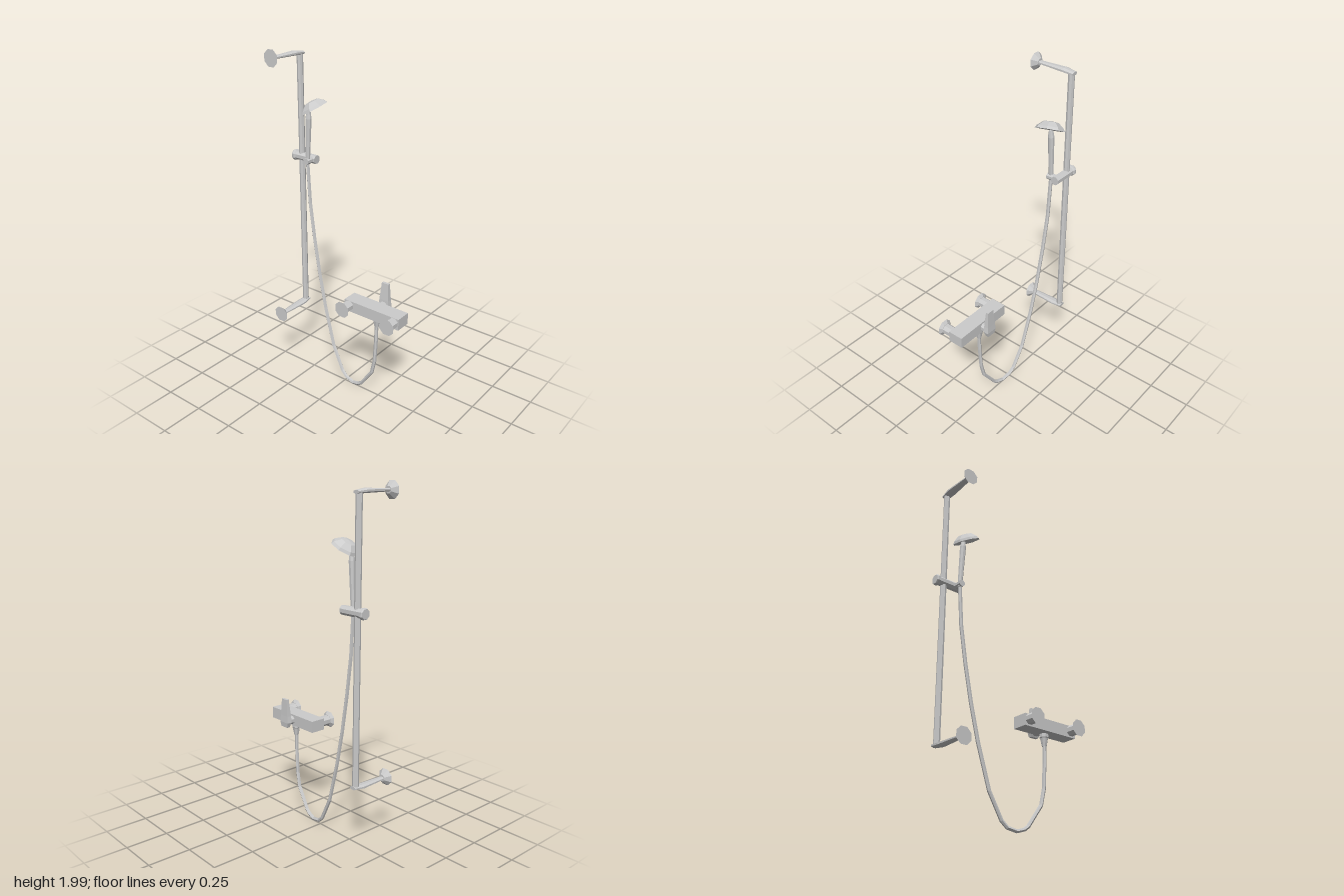
import * as THREE from 'three';

const material = new THREE.MeshStandardMaterial({ color: 0xcccccc, flatShading: true });

function add(parent, name, geometry, x = 0, y = 0, z = 0) {
  const mesh = new THREE.Mesh(geometry, material);
  mesh.name = name;
  mesh.position.set(x, y, z);
  parent.add(mesh);
  return mesh;
}

// Faceted turned part; profile is [radius, distance along the axis], listed upwards
function turned(profile, axis = 'y', sides = 8) {
  const points = profile.map(([r, d]) => new THREE.Vector2(r, d));
  const geometry = new THREE.LatheGeometry(points, sides, Math.PI / sides);
  if (axis === 'x') geometry.rotateZ(-Math.PI / 2);
  if (axis === 'z') geometry.rotateX(Math.PI / 2);
  return geometry;
}

// Flattened arm along x whose outer end drops towards the rail
function armGeometry(drop) {
  const geometry = turned([[0, -0.115], [0.018, -0.115], [0.028, 0.05], [0.021, 0.113], [0, 0.113]], 'x');
  geometry.scale(1, 0.48, 1);
  const p = geometry.attributes.position;
  for (let i = 0; i < p.count; i++) {
    if (p.getX(i) > 0.1) p.setY(i, p.getY(i) + drop);
  }
  return geometry;
}

// Lever that narrows towards its top and bottom
function leverGeometry() {
  const levels = [
    [0.57, 0.062, 0.009, 0.026], // y, centre x, half depth, half width
    [0.6, 0.058, 0.016, 0.035],
    [0.64, 0.058, 0.014, 0.03],
    [0.742, 0.061, 0.008, 0.022],
  ];
  const geometry = new THREE.BoxGeometry(2, 3, 2, 1, 3, 1);
  const p = geometry.attributes.position;
  for (let i = 0; i < p.count; i++) {
    const [y, cx, hx, hz] = levels[Math.round(p.getY(i) + 1.5)];
    p.setXYZ(i, cx + p.getX(i) * hx, y, p.getZ(i) * hz);
  }
  return geometry;
}

// Tube whose rings sit exactly on the given points
function hoseGeometry(points, radius) {
  const curve = new THREE.CatmullRomCurve3(points);
  curve.getPointAt = curve.getPoint;
  curve.getTangentAt = curve.getTangent;
  return new THREE.TubeGeometry(curve, points.length - 1, radius, 6);
}

export function createModel() {
  const model = new THREE.Group();
  model.name = 'showerSet';

  // Wall rail and its two brackets
  const railX = 0.093, railZ = -0.39;
  const rail = new THREE.Group();
  rail.name = 'wallRail';
  model.add(rail);
  add(rail, 'railBar', new THREE.CylinderGeometry(0.018, 0.018, 1.55, 8), railX, 1.177, railZ);
  for (const [label, y, drop] of [['upper', 1.953, -0.006], ['lower', 0.399, 0.006]]) {
    add(rail, label + 'Arm', armGeometry(drop), 0, y, railZ);
    add(rail, label + 'WallFlange',
      turned([[0, -0.138], [0.05, -0.138], [0.033, -0.122], [0.02, -0.11], [0, -0.11]], 'x'), 0, y, railZ);
  }

  // Sliding holder
  const holder = new THREE.Group();
  holder.name = 'slidingHolder';
  holder.position.set(railX, 1.355, 0);
  model.add(holder);
  add(holder, 'holderBarrel', turned([[0, -0.425], [0.026, -0.425], [0.026, -0.28], [0, -0.28]], 'z'));
  add(holder, 'clampKnob',
    turned([[0, -0.448], [0.028, -0.448], [0.032, -0.442], [0.032, -0.428], [0.026, -0.423], [0, -0.423]], 'z'));
  add(holder, 'handsetClip', turned([[0, -0.065], [0.02, -0.065], [0.02, 0], [0, 0]], 'x'), 0, 0, -0.308);

  // Hand shower
  const handset = new THREE.Group();
  handset.name = 'handShower';
  model.add(handset);
  const handle = add(handset, 'handsetHandle',
    turned([[0, 0], [0.012, 0], [0.014, 0.04], [0.018, 0.27], [0.012, 0.31], [0, 0.31]]), 0.047, 1.335, -0.31);
  handle.rotation.x = 0.05;
  const head = add(handset, 'sprayHead',
    turned([[0, 0], [0.083, 0], [0.074, 0.015], [0.042, 0.041], [0, 0.046]]), 0.061, 1.664, -0.262);
  head.quaternion.setFromUnitVectors(new THREE.Vector3(0, 1, 0),
    new THREE.Vector3(-0.17, 0.87, -0.46).normalize());

  // Hose hanging from the mixer outlet up to the handset
  const hosePath = [
    [0.245, 0.51], [0.243, 0.4], [0.235, 0.26], [0.215, 0.17], [0.132, 0.05], [0.108, 0.032],
    [0.063, 0.018], [0.005, 0.03], [-0.03, 0.062], [-0.105, 0.205], [-0.175, 0.45],
    [-0.222, 0.66], [-0.262, 0.88], [-0.294, 1.1], [-0.31, 1.35],
  ].map(([z, y]) => new THREE.Vector3(0.007 - 0.128 * z, y, z));
  add(model, 'hose', hoseGeometry(hosePath, 0.011));

  // Mixer with two wall connectors, an outlet and a lever
  const mixer = new THREE.Group();
  mixer.name = 'mixer';
  model.add(mixer);
  add(mixer, 'mixerBody', new THREE.BoxGeometry(0.093, 0.068, 0.372), -0.034, 0.603, 0.243);
  for (const [label, z] of [['rear', 0.09], ['front', 0.396]]) {
    add(mixer, label + 'Connector', turned([[0.031, -0.138], [0.031, -0.078]], 'x'), 0, 0.607, z);
    add(mixer, label + 'ConnectorFlange',
      turned([[0, -0.148], [0.05, -0.148], [0.031, -0.134], [0, -0.134]], 'x'), 0, 0.609, z);
  }
  add(mixer, 'outlet',
    turned([[0, 0.5], [0.014, 0.5], [0.023, 0.545], [0.026, 0.55], [0.026, 0.58], [0, 0.58]]), -0.023, 0, 0.245);
  add(mixer, 'leverStem', turned([[0.026, 0], [0.026, 0.05], [0, 0.05]], 'x'), 0, 0.603, 0.243);
  add(mixer, 'lever', leverGeometry(), 0, 0, 0.243);

  return model;
}
